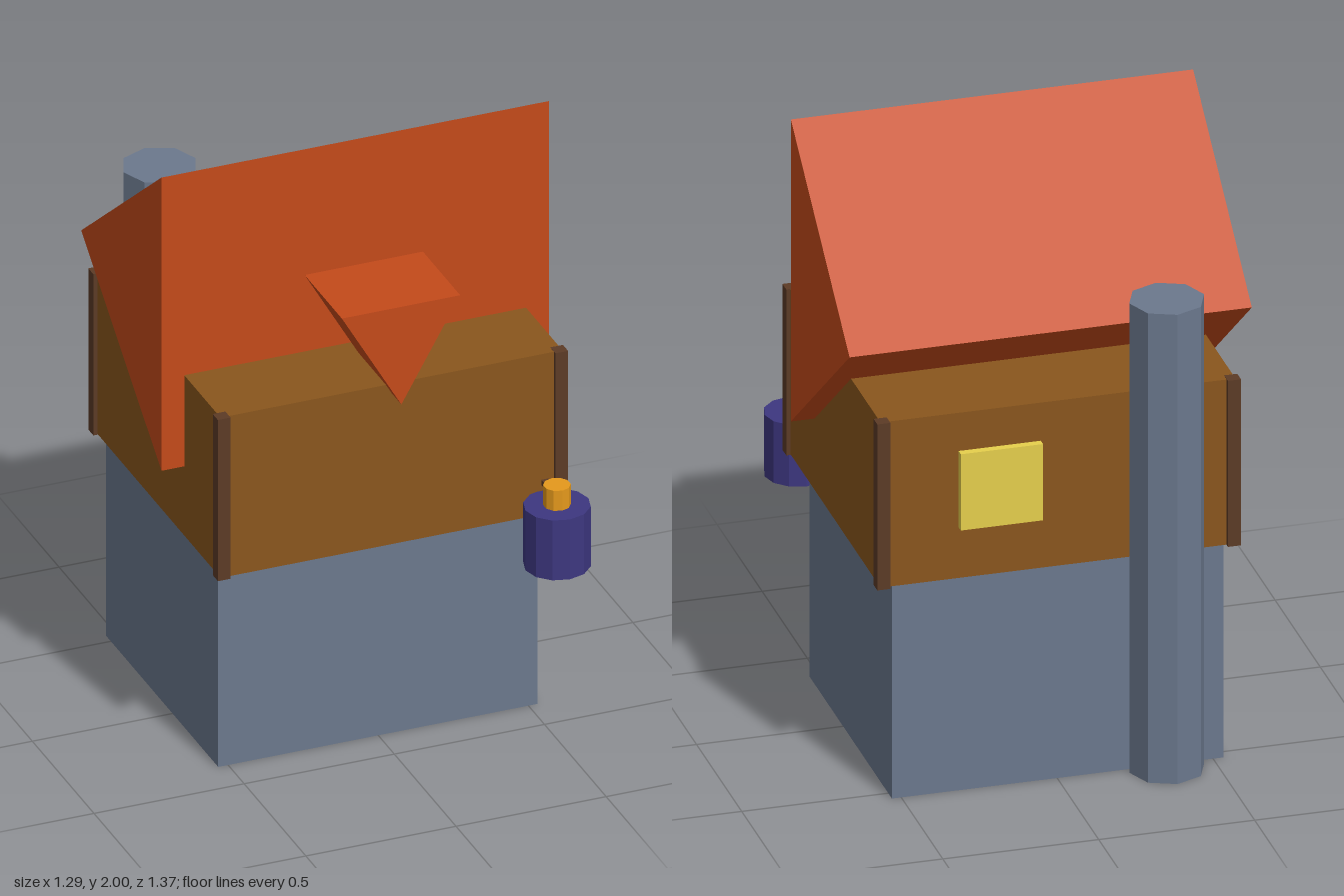
import * as THREE from 'three';

const material = (color) => new THREE.MeshStandardMaterial({ color, flatShading: true });
const slate = material(0x6b788d);
const timber = material(0x8a561d);
const darkTimber = material(0x5c3b26);
const tile = material(0xc44a1a);
const yellow = material(0xe6cf4c);
const indigo = material(0x3d3780);
const gold = material(0xe5991c);

export function createModel() {
  const model = new THREE.Group();

  const add = (name, geometry, mat, x = 0, y = 0, z = 0) => {
    const mesh = new THREE.Mesh(geometry, mat);
    mesh.name = name;
    mesh.position.set(x, y, z);
    model.add(mesh);
    return mesh;
  };

  // Box given by its lower and upper limits on each axis
  const box = (name, mat, [x0, x1], [y0, y1], [z0, z1]) =>
    add(name, new THREE.BoxGeometry(x1 - x0, y1 - y0, z1 - z0), mat,
      (x0 + x1) / 2, (y0 + y1) / 2, (z0 + z1) / 2);

  // Upright faceted cylinder standing on y0
  const column = (name, mat, radius, sides, x, y0, y1, z) =>
    add(name, new THREE.CylinderGeometry(radius, radius, y1 - y0, sides), mat, x, (y0 + y1) / 2, z);

  // Triangular prism extruded along +z
  const prism = (points, depth) => new THREE.ExtrudeGeometry(
    new THREE.Shape(points.map(([x, y]) => new THREE.Vector2(x, y))),
    { depth, bevelEnabled: false });

  // Stone ground floor and overhanging timber storey
  box('stoneBase', slate, [-0.533, 0.53], [0, 0.727], [-0.54, 0.37]);
  box('upperStorey', timber, [-0.57, 0.568], [0.727, 1.29], [-0.546, 0.479]);

  // Corner posts
  for (const x of [-0.563, 0.561]) {
    for (const z of [-0.538, 0.471]) {
      box('cornerPost', darkTimber, [x - 0.021, x + 0.021], [0.725, 1.291], [z - 0.021, z + 0.021]);
    }
  }

  // Roof wedge: upright front face with its point at the back
  const roof = add('roof', prism([[-0.185, 0.97], [0.465, 1.485], [-0.185, 2]], 1.29), tile, 0.645);
  roof.rotation.y = Math.PI / 2;
  roof.position.x = -0.646;

  // The prism's profile runs along -z once turned
  // Dormer: downward pointing prism
  add('dormer', prism([[-0.198, 1.6], [0, 1.257], [0.196, 1.6]], 0.302), tile, 0, 0, 0.255);

  // Chimney stack and back window
  column('chimney', slate, 0.12, 8, -0.344, 0, 1.6, -0.565);
  box('backWindow', yellow, [0.054, 0.318], [0.9, 1.16], [-0.571, -0.54]);

  // Lantern on its bracket
  column('lanternBody', indigo, 0.105, 12, 0.51, 0.6, 0.81, 0.577);
  column('lanternCap', gold, 0.043, 10, 0.51, 0.81, 0.88, 0.577);
  box('lanternBracket', darkTimber, [0.498, 0.522], [0.831, 0.849], [0.46, 0.577]);

  return model;
}
